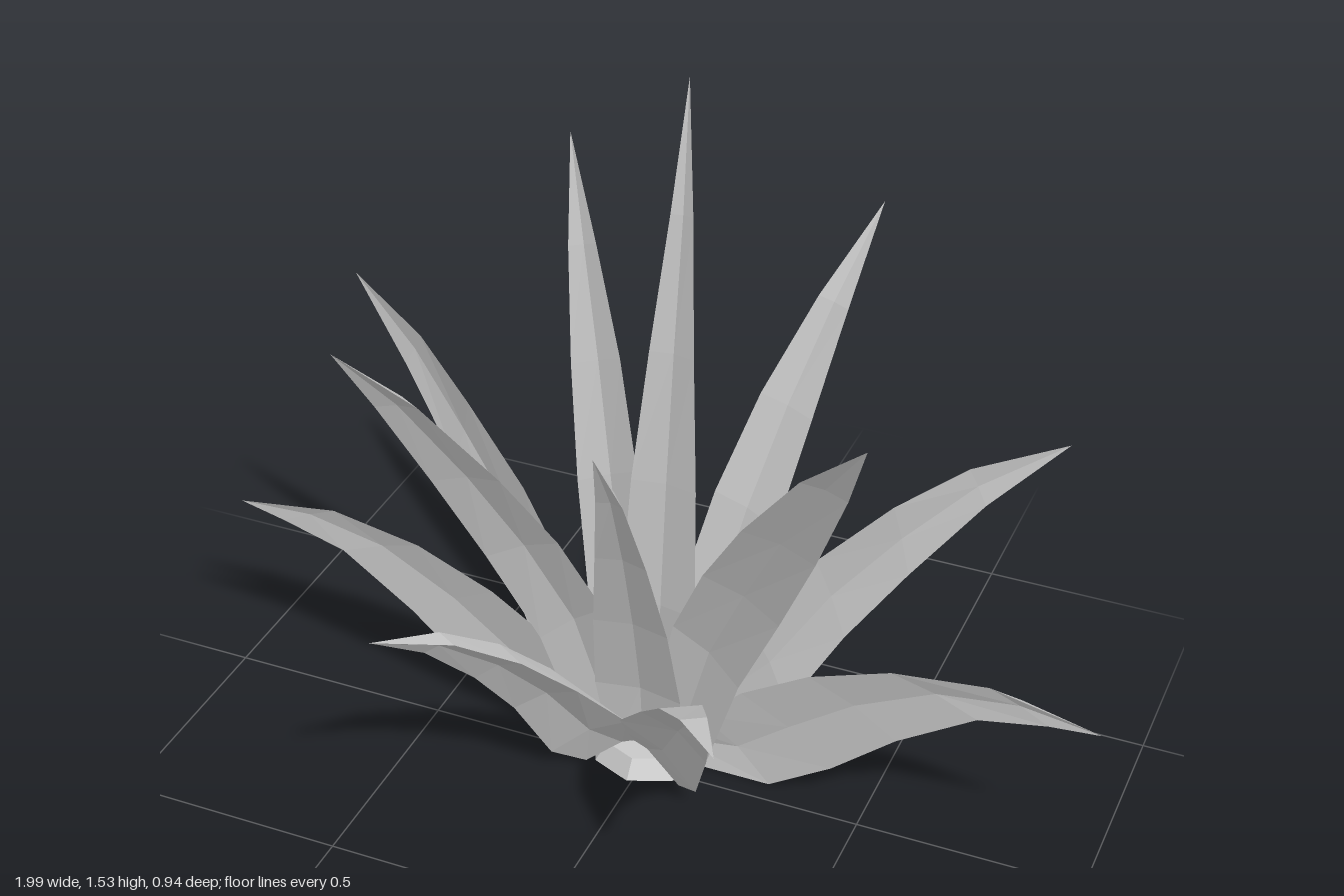
import * as THREE from 'three';

const leafMat = new THREE.MeshStandardMaterial({ color: 0xc8c8c8, flatShading: true, side: THREE.DoubleSide });
leafMat.name = 'pale grey';

const CX = -0.01; // mirror line of the leaf fan
// Share of the ridge depth from base (t = 0) to tip (t = 1)
const ridgeShare = (t) => Math.min(1, 0.85 + t) * (1 - t ** 2.5);

// Symmetrical upright blade as a pair of edges
const blade = (heights, halves) => ({
  inner: heights.map((y, i) => [CX - halves[i], y]),
  outer: heights.map((y, i) => [CX + halves[i], y]),
});

// Blade profiles: inner and outer edges [x, y], z at each station, tip and ridge depth
const TYPES = {
  low: {
    depth: 0.068, tip: [0.99, 0.36, -0.05],
    inner: [[0.02, 0.1], [0.12, 0.14], [0.21, 0.23], [0.36, 0.32], [0.54, 0.385], [0.75, 0.41]],
    outer: [[0.1, 0], [0.28, 0], [0.42, 0.09], [0.56, 0.21], [0.73, 0.32], [0.88, 0.35]],
    z: [-0.05, -0.05, -0.05, -0.05, -0.05, -0.05],
  },
  front: {
    depth: 0.085, tip: [0.35, 0.49, 0.47],
    inner: [[-0.07, 0.12], [-0.02, 0.18], [0.06, 0.28], [0.14, 0.38], [0.23, 0.46]],
    outer: [[0.1, 0], [0.16, 0.04], [0.21, 0.19], [0.25, 0.31], [0.3, 0.42]],
    z: [0.03, 0.08, 0.15, 0.24, 0.35],
  },
  side: {
    depth: 0.075, tip: [0.54, 1.08, 0.2],
    inner: [[0, 0.1], [0.07, 0.4], [0.15, 0.58], [0.25, 0.75], [0.39, 0.94]],
    outer: [[0.13, 0], [0.22, 0.28], [0.32, 0.5], [0.41, 0.71], [0.49, 0.92]],
    z: [-0.03, -0.005, 0.035, 0.085, 0.145],
  },
  wide: {
    depth: 0.07, tip: [0.81, 0.86, -0.31],
    inner: [[0.08, 0.1], [0.2, 0.36], [0.33, 0.54], [0.48, 0.69], [0.62, 0.79]],
    outer: [[0.2, 0.02], [0.29, 0.17], [0.4, 0.36], [0.52, 0.53], [0.66, 0.71]],
    z: [-0.1, -0.12, -0.16, -0.2, -0.25],
  },
  back: {
    depth: 0.08, tip: [0.34, 1.24, -0.47],
    inner: [[0, 0.04], [0.02, 0.36], [0.08, 0.62], [0.15, 0.84], [0.24, 1.05]],
    outer: [[0.1, 0], [0.17, 0.3], [0.22, 0.56], [0.265, 0.8], [0.305, 1.03]],
    z: [-0.11, -0.15, -0.21, -0.285, -0.37],
  },
  tall: {
    depth: 0.08, tip: [-0.02, 1.53, -0.29],
    ...blade([0, 0.35, 0.65, 0.95, 1.25], [0.06, 0.087, 0.074, 0.05, 0.025]),
    z: [-0.1, -0.11, -0.14, -0.18, -0.23],
  },
  centre: {
    depth: 0.075, tip: [-0.02, 0.92, 0.2],
    ...blade([0, 0.2, 0.4, 0.6, 0.78], [0.07, 0.1, 0.085, 0.058, 0.03]),
    z: [-0.02, 0, 0.04, 0.09, 0.145],
  },
};

// Each leaf: name, profile, mirrored, tip
const LEAVES = [
  ['tallBackLeaf', 'tall', false, [-0.02, 1.53, -0.29]],
  ['rightBackLeaf', 'back', true, [-0.35, 1.28, -0.44]],
  ['leftBackLeaf', 'back', false, [0.34, 1.24, -0.47]],
  ['rightWideLeaf', 'wide', true, [-0.81, 0.91, -0.3]],
  ['leftWideLeaf', 'wide', false, [0.81, 0.86, -0.31]],
  ['rightSideLeaf', 'side', true, [-0.6, 1.02, 0.19]],
  ['leftSideLeaf', 'side', false, [0.54, 1.08, 0.2]],
  ['centreFrontLeaf', 'centre', false, [-0.02, 0.92, 0.2]],
  ['rightLowLeaf', 'low', true, [-1, 0.41, -0.05]],
  ['leftLowLeaf', 'low', false, [0.99, 0.36, -0.05]],
  ['rightFrontLeaf', 'front', true, [-0.4, 0.54, 0.46]],
  ['leftFrontLeaf', 'front', false, [0.35, 0.49, 0.47]],
];

// Blade with a shallow groove along the front and a ridge along the back
function makeLeaf([name, kind, mirrored, tipPos]) {
  const type = TYPES[kind];
  const n = type.z.length;
  const tip = new THREE.Vector3(...tipPos);
  const flip = ([x, y], z) => new THREE.Vector3(mirrored ? 2 * CX - x : x, y, z);
  // Ease the profile over to this leaf's own tip
  const shift = tip.clone().sub(flip(type.tip, type.tip[2]));
  const edge = (points) => points.map((p, i) => flip(p, type.z[i]).addScaledVector(shift, (i / n) ** 2));

  let left = edge(type.inner), right = edge(type.outer);
  if (mirrored) [left, right] = [right, left];
  const mid = left.map((p, i) => p.clone().lerp(right[i], 0.5));
  mid.push(tip);

  const pos = [], idx = [];
  for (let i = 0; i < n; i++) {
    const along = mid[i + 1].clone().sub(mid[Math.max(i - 1, 0)]);
    const across = right[i].clone().sub(left[i]);
    const back = along.cross(across).normalize().multiplyScalar(type.depth * ridgeShare(i / n));
    const groove = mid[i].clone().addScaledVector(back, 0.22);
    const ridge = mid[i].clone().add(back);
    ridge.y = Math.max(ridge.y, 0);
    pos.push(...left[i], ...groove, ...right[i], ...ridge);
    for (let j = 0; j < 4; j++) {
      const a = i * 4 + j, b = i * 4 + (j + 1) % 4;
      if (i === n - 1) idx.push(a, b, n * 4);
      else idx.push(a, b, b + 4, a, b + 4, a + 4);
    }
  }
  pos.push(...tip);

  const geo = new THREE.BufferGeometry();
  geo.setAttribute('position', new THREE.Float32BufferAttribute(pos, 3));
  geo.setIndex(idx);
  geo.computeVertexNormals();
  const mesh = new THREE.Mesh(geo, leafMat);
  mesh.name = name;
  return mesh;
}

export function createModel() {
  const plant = new THREE.Group();
  plant.name = 'spikyPlant';
  LEAVES.forEach((leaf) => plant.add(makeLeaf(leaf)));

  // Small faceted root disc
  const base = new THREE.Mesh(new THREE.CylinderGeometry(0.1, 0.13, 0.04, 8), leafMat);
  base.position.set(-0.01, 0.02, -0.07);
  base.name = 'rootDisc';
  plant.add(base);
  return plant;
}
